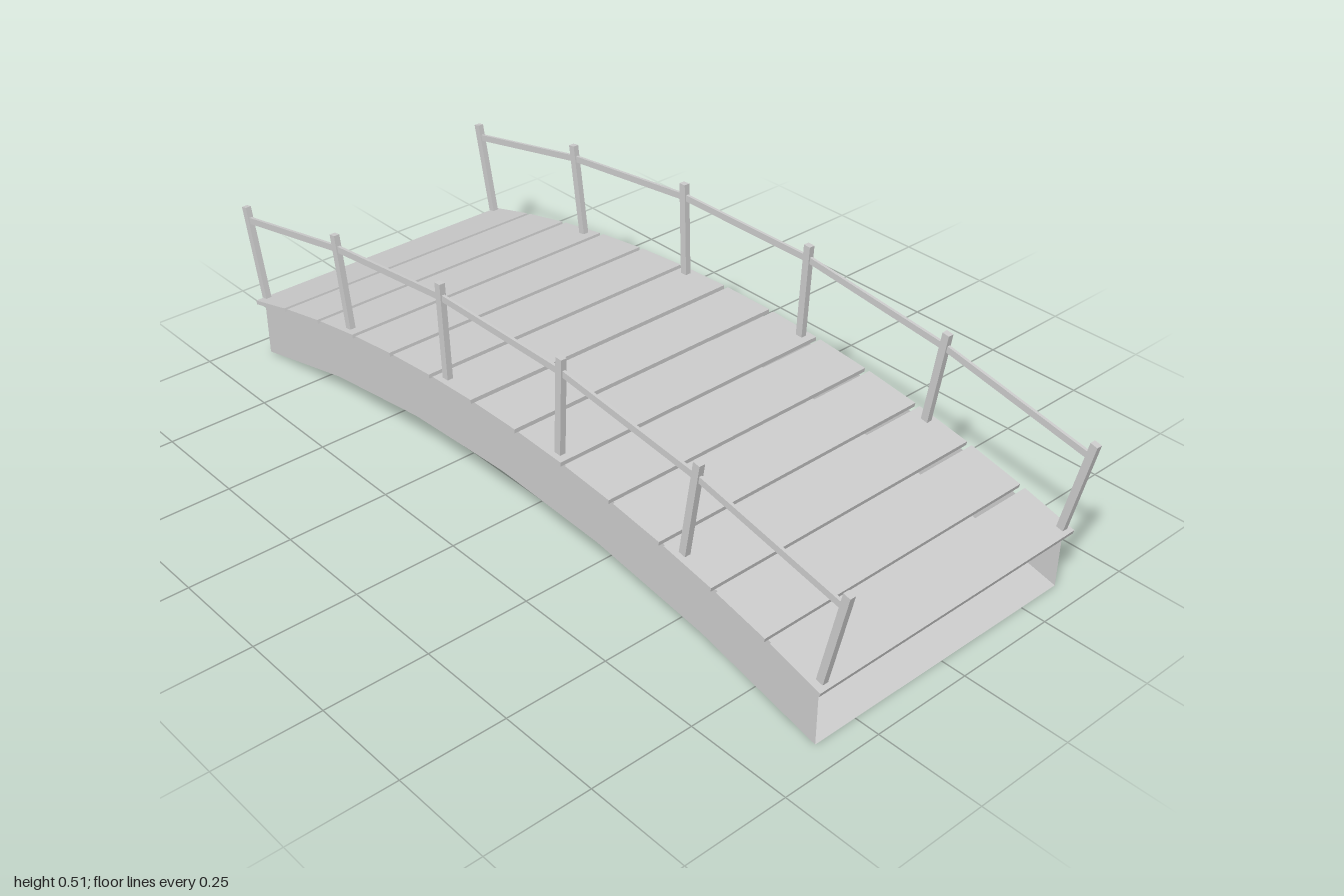
import * as THREE from 'three';

const R = 3.46;            // radius of the arched deck
const CROWN = 0.28;        // deck height at mid-span
const POST_Z = 0.3535;

const material = new THREE.MeshStandardMaterial({ color: 0xcccccc });
const thin = new THREE.MeshStandardMaterial({ color: 0xcccccc, side: THREE.DoubleSide });

// Height of the underside arch at x
const archY = (x) => 0.132 - 3.41 + Math.sqrt(3.41 * 3.41 - x * x);

// Lift every vertex of a sheet onto the underside arch
function arch(geometry) {
  const p = geometry.attributes.position;
  for (let i = 0; i < p.count; i++) p.setY(i, Math.max(0, p.getY(i) + archY(p.getX(i))));
  geometry.computeVertexNormals();
  return geometry;
}

// Square bar between two points in the x-y plane at depth z
function bar(name, a, b, z, height, depth) {
  const d = b.clone().sub(a);
  const mesh = new THREE.Mesh(new THREE.BoxGeometry(d.length(), height, depth), material);
  mesh.name = name;
  mesh.position.set((a.x + b.x) / 2, (a.y + b.y) / 2, z);
  mesh.rotation.z = Math.atan2(d.y, d.x);
  return mesh;
}

export function createModel() {
  const bridge = new THREE.Group();
  bridge.name = 'footbridge';

  // Hollow body: curved underside and two side walls, open at the ends
  const body = new THREE.Group();
  body.name = 'body';
  const underside = new THREE.Mesh(
    arch(new THREE.PlaneGeometry(1.88, 0.72, 6, 1).rotateX(Math.PI / 2)), thin);
  underside.name = 'underside';
  body.add(underside);
  for (const side of [1, -1]) {
    const sheet = new THREE.PlaneGeometry(1.88, 0.138, 6, 1);
    if (side < 0) sheet.rotateY(Math.PI);
    sheet.translate(0, 0.069, side * 0.36);
    const wall = new THREE.Mesh(arch(sheet), thin);
    wall.name = side > 0 ? 'frontWall' : 'backWall';
    body.add(wall);
  }
  bridge.add(body);

  // Thirteen planks laid around the arc
  const deck = new THREE.Group();
  deck.name = 'deck';
  const plankGeometry = new THREE.BoxGeometry(0.137, 0.01, 0.75);
  for (let i = -6; i <= 6; i++) {
    const angle = i * 0.0434;
    const plank = new THREE.Mesh(plankGeometry, material);
    plank.name = 'plank';
    plank.position.set((R - 0.005) * Math.sin(angle), CROWN - R + (R - 0.005) * Math.cos(angle), 0);
    plank.rotation.z = -angle;
    deck.add(plank);
  }
  bridge.add(deck);

  // Railings: leaning posts joined by straight rails
  const half = [
    [[0.191, 0.274], [0.201, 0.509]],
    [[0.567, 0.23], [0.602, 0.464]],
    [[0.94, 0.154], [0.99, 0.385]],
  ];
  const mirrored = half.map((post) => post.map(([x, y]) => [-x, y])).reverse();
  const posts = [...mirrored, ...half].map((post) => post.map(([x, y]) => new THREE.Vector2(x, y)));
  for (const side of [1, -1]) {
    const railing = new THREE.Group();
    railing.name = side > 0 ? 'frontRailing' : 'backRailing';
    const joints = posts.map(([foot, top]) => foot.clone().lerp(top, 0.855));
    posts.forEach(([foot, top], i) => {
      railing.add(bar('post', foot, top, side * POST_Z, 0.018, 0.0145));
      if (i > 0) railing.add(bar('rail', joints[i - 1], joints[i], side * POST_Z, 0.016, 0.007));
    });
    bridge.add(railing);
  }
  return bridge;
}
